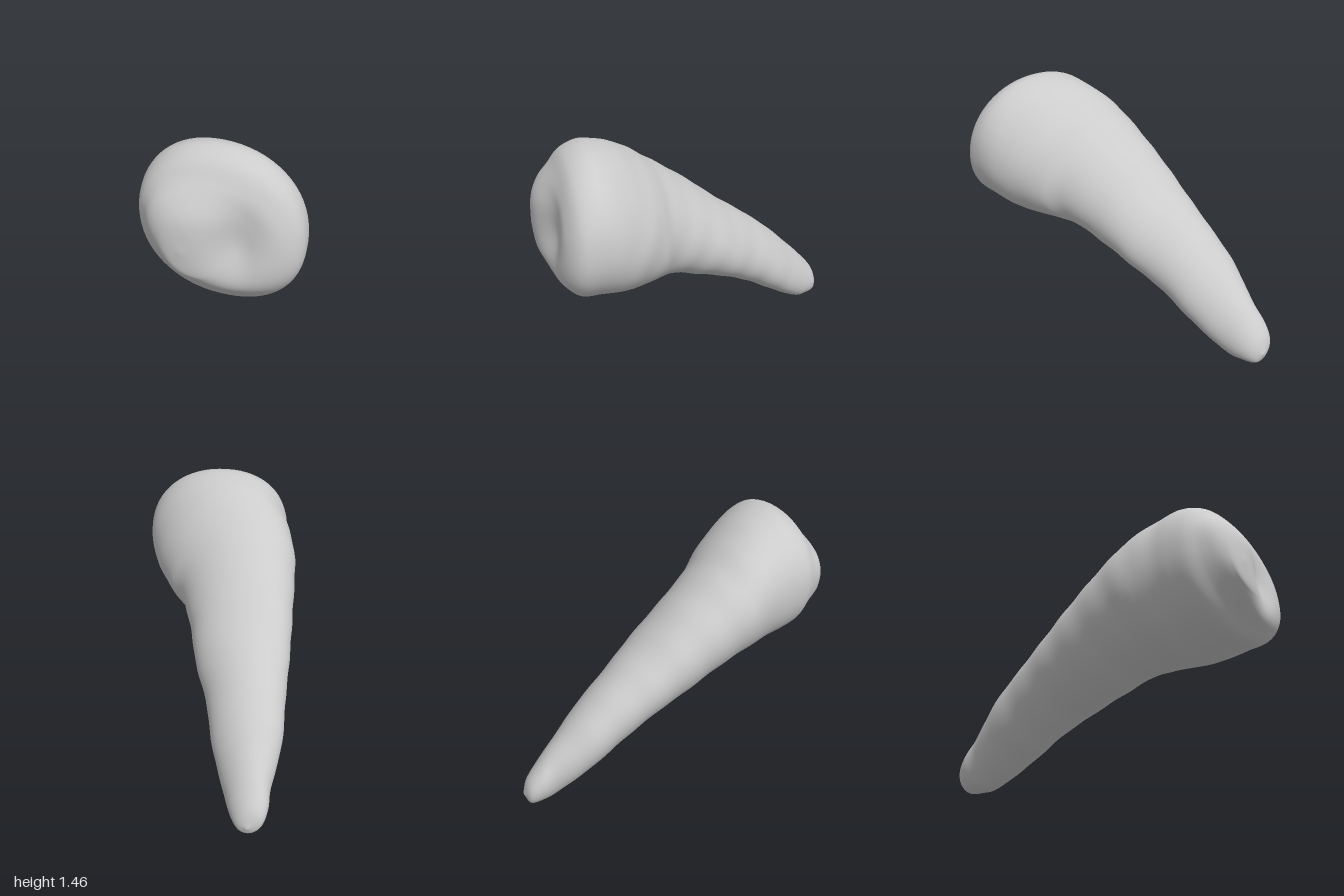
import * as THREE from 'three';

// Cross-sections along the body: z, xMin, xMax, yMin, yMax, lean (tilt of the oval)
const SECTIONS = [
  [-1.0, -0.39, -0.37, 0.07, 0.09, -0.2],
  [-0.97, -0.46, -0.31, 0.01, 0.18, -0.2],
  [-0.9, -0.485, -0.26, 0.005, 0.27, -0.2],
  [-0.8, -0.487, -0.21, 0.02, 0.375, -0.18],
  [-0.6, -0.52, -0.11, 0.14, 0.57, -0.14],
  [-0.4, -0.512, -0.04, 0.27, 0.735, -0.12],
  [-0.2, -0.508, 0.06, 0.385, 0.885, -0.12],
  [0.0, -0.498, 0.13, 0.465, 1.05, -0.12],
  [0.2, -0.485, 0.225, 0.55, 1.2, -0.12],
  [0.3, -0.478, 0.32, 0.575, 1.275, -0.12],
  [0.4, -0.465, 0.4, 0.59, 1.35, -0.12],
  [0.5, -0.435, 0.46, 0.595, 1.41, -0.12],
  [0.6, -0.4, 0.505, 0.615, 1.45, -0.1],
  [0.7, -0.38, 0.525, 0.635, 1.465, -0.1],
  [0.8, -0.35, 0.52, 0.655, 1.42, -0.15],
  [0.87, -0.3, 0.46, 0.71, 1.33, -0.25],
  [0.93, -0.255, 0.33, 0.76, 1.25, -0.35],
  [0.97, -0.2, 0.18, 0.82, 1.18, -0.3],
  [0.99, -0.15, 0.06, 0.87, 1.11, -0.2],
  [1.0, -0.08, -0.06, 0.98, 1.0, 0],
];
const RINGS = 190, SIDES = 64;

// superellipse helper: a power below 1 makes the oval boxier
const square = (v, power) => Math.sign(v) * Math.abs(v) ** power;

function bodyGeometry() {
  const curve = (pick) => new THREE.CatmullRomCurve3(
    SECTIONS.map((s) => new THREE.Vector3(...pick(s))), false, 'catmullrom', 0.5);
  const low = curve((s) => [s[1], s[3], s[0]]);
  const high = curve((s) => [s[2], s[4], s[5]]);
  const axis = new THREE.Vector3(0.235, 0.497, 0.837);
  const pos = [], index = [];
  const p = new THREE.Vector3();

  for (let i = 0; i <= RINGS; i++) {
    const a = low.getPoint(i / RINGS), b = high.getPoint(i / RINGS);
    const cx = (a.x + b.x) / 2, cy = (a.y + b.y) / 2;
    const rx = (b.x - a.x) / 2, ry = (b.y - a.y) / 2;
    const lean = Math.asin(b.z);
    const power = 1 - 0.06 * THREE.MathUtils.smoothstep(a.z, 0.4, 0.7);
    for (let j = 0; j < SIDES; j++) {
      const t = (j / SIDES) * Math.PI * 2;
      p.set(cx + rx * square(Math.cos(t), power), cy + ry * square(Math.sin(t + lean), power), a.z);
      // faint growth rings around the tapering body
      const fade = 1 - THREE.MathUtils.smoothstep(p.z, 0.3, 0.7);
      const ripple = 1 + 0.006 * fade * Math.sin(p.dot(axis) * 29 + 0.5 * Math.sin(t * 2));
      p.x = cx + (p.x - cx) * ripple;
      p.y = cy + (p.y - cy) * ripple;
      // dimple between the two lobes of the blunt front face
      const d2 = ((p.x - 0.2) / 0.13) ** 2 + ((p.y - 1.02) / 0.18) ** 2;
      p.z -= 0.07 * Math.exp(-d2) * THREE.MathUtils.smoothstep(p.z, 0.8, 0.92);
      pos.push(p.x, p.y, p.z);
      if (i < RINGS) {
        const k = i * SIDES + j, n = i * SIDES + ((j + 1) % SIDES);
        index.push(k, n, k + SIDES, n, n + SIDES, k + SIDES);
      }
    }
  }
  // close both ends
  for (let j = 1; j < SIDES - 1; j++) {
    const e = RINGS * SIDES;
    index.push(0, j + 1, j, e, e + j, e + j + 1);
  }
  const geo = new THREE.BufferGeometry();
  geo.setAttribute('position', new THREE.Float32BufferAttribute(pos, 3));
  geo.setIndex(index);
  geo.computeVertexNormals();
  return geo;
}

export function createModel() {
  const group = new THREE.Group();
  group.name = 'taperedRoot';
  const body = new THREE.Mesh(bodyGeometry(), new THREE.MeshStandardMaterial({ color: 0xcccccc }));
  body.name = 'body';
  group.add(body);
  return group;
}
